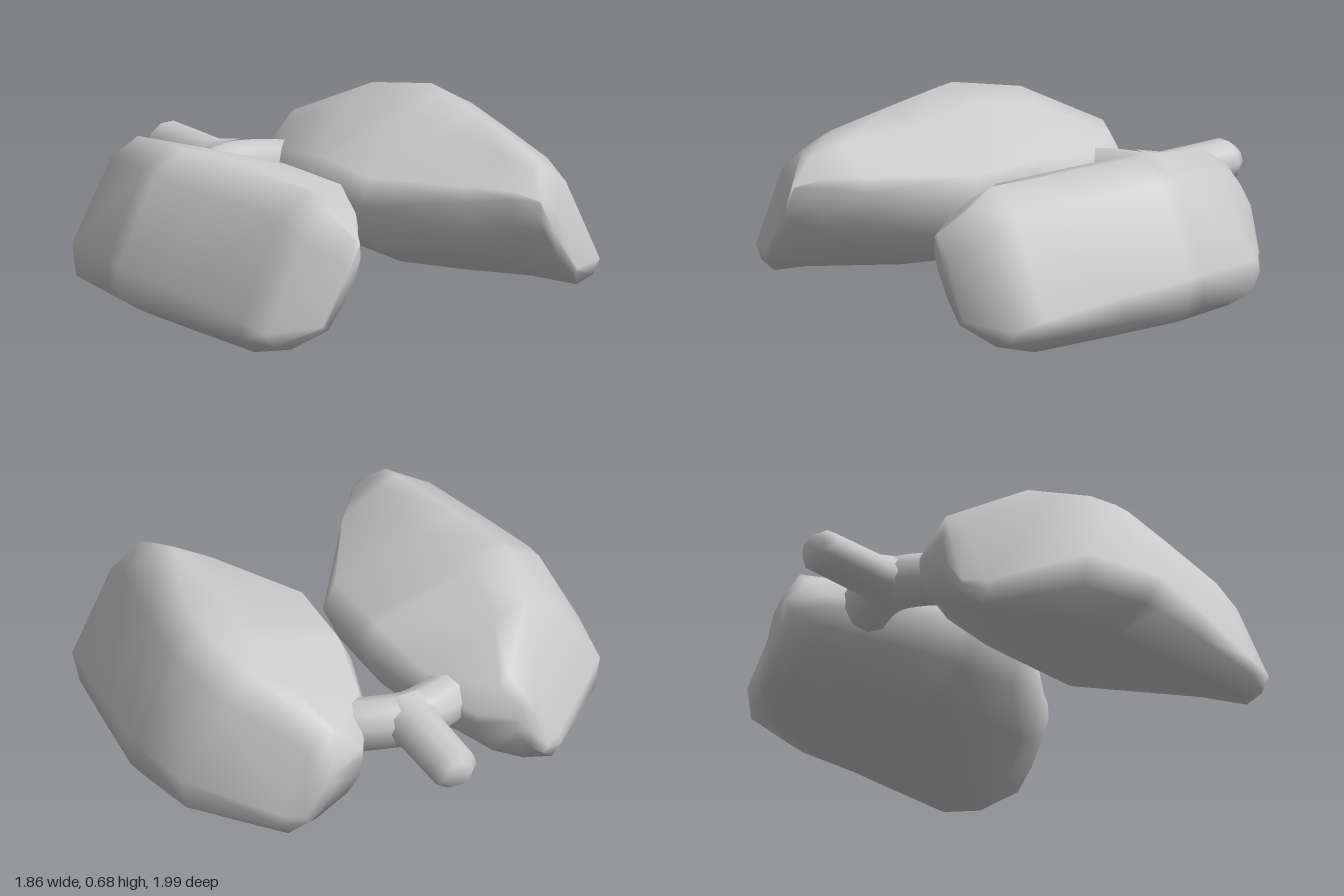
import * as THREE from 'three';

const material = new THREE.MeshStandardMaterial({ color: 0xcccccc });

// Tilted lobe sections: x, then [z, y] of the inner, top, outer and bottom corners, then bulge
const STATIONS = [
  [-0.64, [[0.4, 0.3], [0.44, 0.37], [0.545, 0.14], [0.52, 0.11]], 0.8],
  [-0.58, [[0.255, 0.3], [0.4, 0.485], [0.62, 0.13], [0.59, 0.035]], 1],
  [-0.32, [[0.11, 0.33], [0.6, 0.625], [0.935, 0.24], [0.76, 0.015]], 1],
  [-0.03, [[0.03, 0.36], [0.67, 0.675], [0.985, 0.24], [0.82, 0.01]], 1],
  [0.05, [[0.027, 0.36], [0.66, 0.67], [0.995, 0.235], [0.825, 0.01]], 1],
  [0.32, [[0.02, 0.36], [0.61, 0.65], [0.945, 0.2], [0.82, 0.005]], 1],
  [0.69, [[0.28, 0.42], [0.53, 0.625], [0.875, 0.14], [0.81, 0]], 1],
  [0.82, [[0.385, 0.44], [0.55, 0.56], [0.85, 0.11], [0.73, 0.025]], 0.8],
  [0.927, [[0.46, 0.44], [0.475, 0.455], [0.65, 0.13], [0.625, 0.11]], 0.6],
];

// Extra points on each edge: [fraction along it, outward bulge per unit length]
const EDGES = [
  [[0.15, 0.12], [0.75, 0.045]],
  [[0.28, 0.12]],
  [[0.43, 0.24]],
  [[0.29, 0.127], [0.655, 0.177], [0.85, 0.136]],
];

// Closed [z, y] loop through the corners and the bulged edge points
function sectionLoop(corners, bulge) {
  const loop = [];
  corners.forEach(([z, y], k) => {
    const [zn, yn] = corners[(k + 1) % 4];
    loop.push([z, y]);
    for (const [t, h] of EDGES[k]) {
      loop.push([
        z + (zn - z) * t - (yn - y) * h * bulge,
        y + (yn - y) * t + (zn - z) * h * bulge,
      ]);
    }
  });
  return loop;
}

// Loft one lobe; side = 1 for front, -1 for its mirror image
function lobeGeometry(side) {
  const loops = STATIONS.map(([, corners, bulge]) => sectionLoop(corners, bulge));
  const n = loops[0].length;
  const positions = [];
  const index = [];
  const tri = (a, b, c) => index.push(...(side > 0 ? [a, b, c] : [a, c, b]));

  loops.forEach((loop, s) => {
    for (const [z, y] of loop) positions.push(STATIONS[s][0], y, side * z);
  });
  for (let s = 0; s < loops.length - 1; s++) {
    for (let i = 0; i < n; i++) {
      const a = s * n + i;
      const b = s * n + ((i + 1) % n);
      tri(a, b, a + n);
      tri(b, b + n, a + n);
    }
  }

  // End caps
  for (const s of [0, loops.length - 1]) {
    const centre = positions.length / 3;
    const mean = (axis) => loops[s].reduce((sum, p) => sum + p[axis], 0) / n;
    positions.push(STATIONS[s][0], mean(1), side * mean(0));
    for (let i = 0; i < n; i++) {
      const a = s * n + i;
      const b = s * n + ((i + 1) % n);
      if (s === 0) tri(centre, b, a);
      else tri(centre, a, b);
    }
  }

  const geometry = new THREE.BufferGeometry();
  geometry.setAttribute('position', new THREE.Float32BufferAttribute(positions, 3));
  geometry.setIndex(index);
  geometry.computeVertexNormals();
  return geometry;
}

export function createModel() {
  const group = new THREE.Group();
  const add = (name, geometry) => {
    const mesh = new THREE.Mesh(geometry, material);
    mesh.name = name;
    group.add(mesh);
    return mesh;
  };

  add('frontLobe', lobeGeometry(1));
  add('backLobe', lobeGeometry(-1));

  // Stem with a chamfered tip and a flared root, turned about its axis
  const profile = [[0.14, 0], [0.103, 0.12], [0.1, 0.415], [0.06, 0.46], [0, 0.46]]
    .map(([r, h]) => new THREE.Vector2(r, h));
  const stem = add('stem', new THREE.LatheGeometry(profile, 10));
  stem.scale.x = 0.86;
  stem.rotation.z = Math.PI / 2 - 0.03;
  stem.position.set(-0.47, 0.345, 0);

  // Forked branch joining the stem to both lobes
  const path = new THREE.CatmullRomCurve3([
    [-0.36, 0.32, -0.28],
    [-0.44, 0.34, -0.13],
    [-0.475, 0.345, 0],
    [-0.44, 0.34, 0.13],
    [-0.36, 0.32, 0.28],
  ].map((p) => new THREE.Vector3(...p)));
  add('forkedBranch', new THREE.TubeGeometry(path, 12, 0.108, 10, false));

  return group;
}
